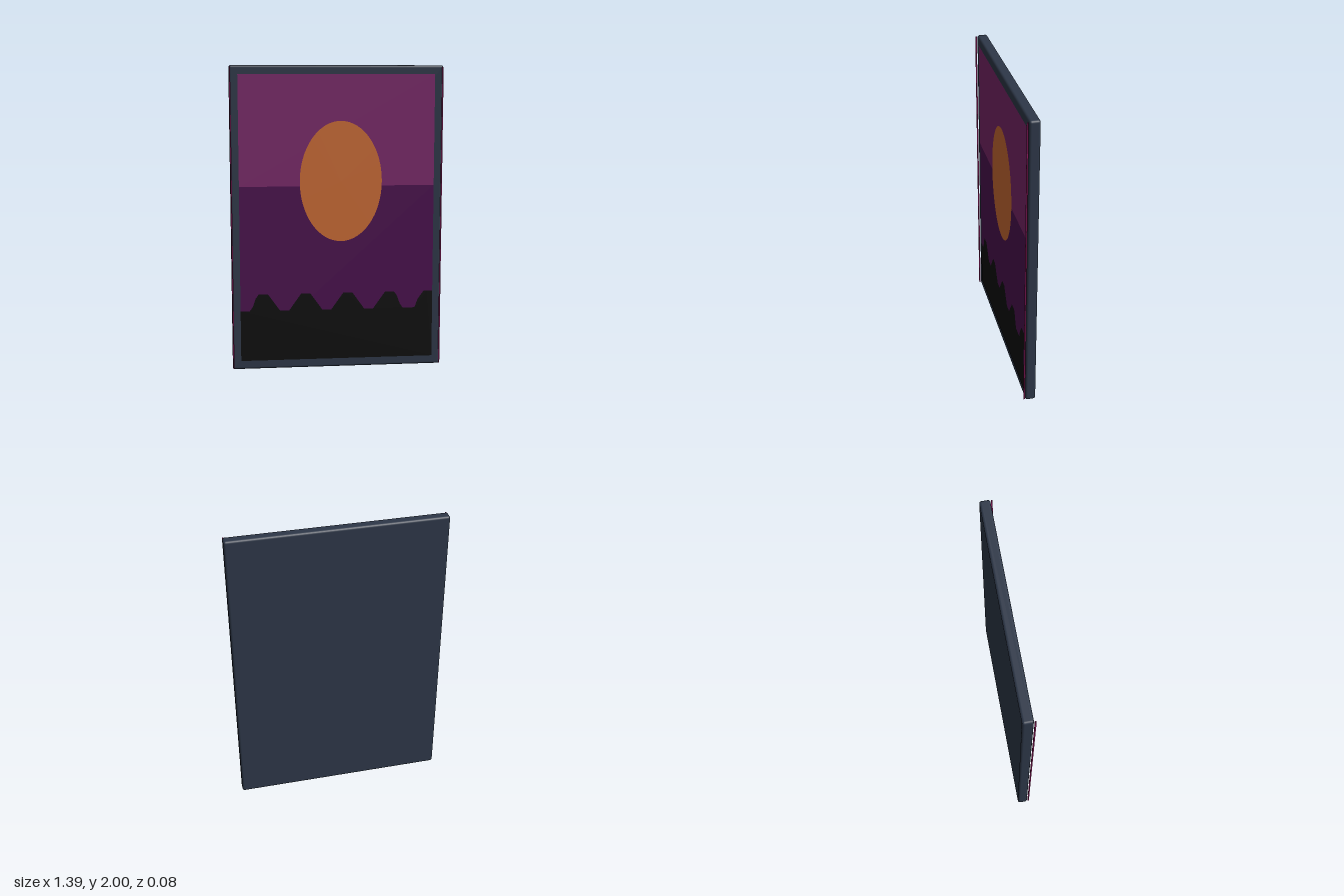
import * as THREE from 'three';
import { RoundedBoxGeometry } from 'three/addons/geometries/RoundedBoxGeometry.js';

const paint = (name, color) => {
  const m = new THREE.MeshStandardMaterial({ color });
  m.name = name;
  return m;
};

export function createModel() {
  const group = new THREE.Group();
  group.name = 'wallPicture';
  const slate = paint('slate', 0x2d3748);
  const plum = paint('plum', 0x782468);
  const violet = paint('deepViolet', 0x4a0e4e);
  const orange = paint('orange', 0xc96a33);
  const black = paint('black', 0x0d0d0d);
  const magenta = paint('magenta', 0x8e1a5e);

  const add = (name, geometry, material, x, y, z) => {
    const mesh = new THREE.Mesh(geometry, material);
    mesh.name = name;
    mesh.position.set(x, y, z);
    group.add(mesh);
    return mesh;
  };

  // Frame slab with softly rounded edges
  const front = 0.027;
  add('frame', new RoundedBoxGeometry(1.394, 2, front + 0.04, 3, 0.015), slate, 0, 1, (front - 0.04) / 2);

  // Sky: two flat bands meeting at the horizon
  const half = 0.641, bottom = 0.058, horizon = 1.219, top = 1.944;
  const band = (name, y0, y1, material) =>
    add(name, new THREE.PlaneGeometry(half * 2, y1 - y0), material, 0, (y0 + y1) / 2, front + 0.0012);
  band('upperSky', horizon, top, plum);
  band('lowerSky', bottom, horizon, violet);

  // Tall oval sun
  add('sun', new THREE.CircleGeometry(1, 64), orange, 0.024, 1.248, front + 0.0024).scale.set(0.27, 0.395, 1);

  // Treeline: a wave with heights snapped to small steps
  const trees = new THREE.Shape();
  trees.moveTo(-half, bottom);
  const columns = 64;
  for (let i = 0; i <= columns; i++) {
    const x = -half + (i / columns) * half * 2;
    const wave = Math.cos(((x - 0.068) / 0.275) * Math.PI * 2);
    trees.lineTo(x, 0.45 + Math.round(wave * 2.5) * 0.028);
  }
  trees.lineTo(half, bottom);
  add('treeline', new THREE.ShapeGeometry(trees), black, 0, 0, front + 0.0024);

  // Thin light strips along both sides
  for (const side of [-1, 1]) {
    add(side > 0 ? 'leftStrip' : 'rightStrip', new THREE.BoxGeometry(0.008, 1.98, 0.009), magenta, side * 0.69, 1, 0.0355);
  }
  return group;
}
